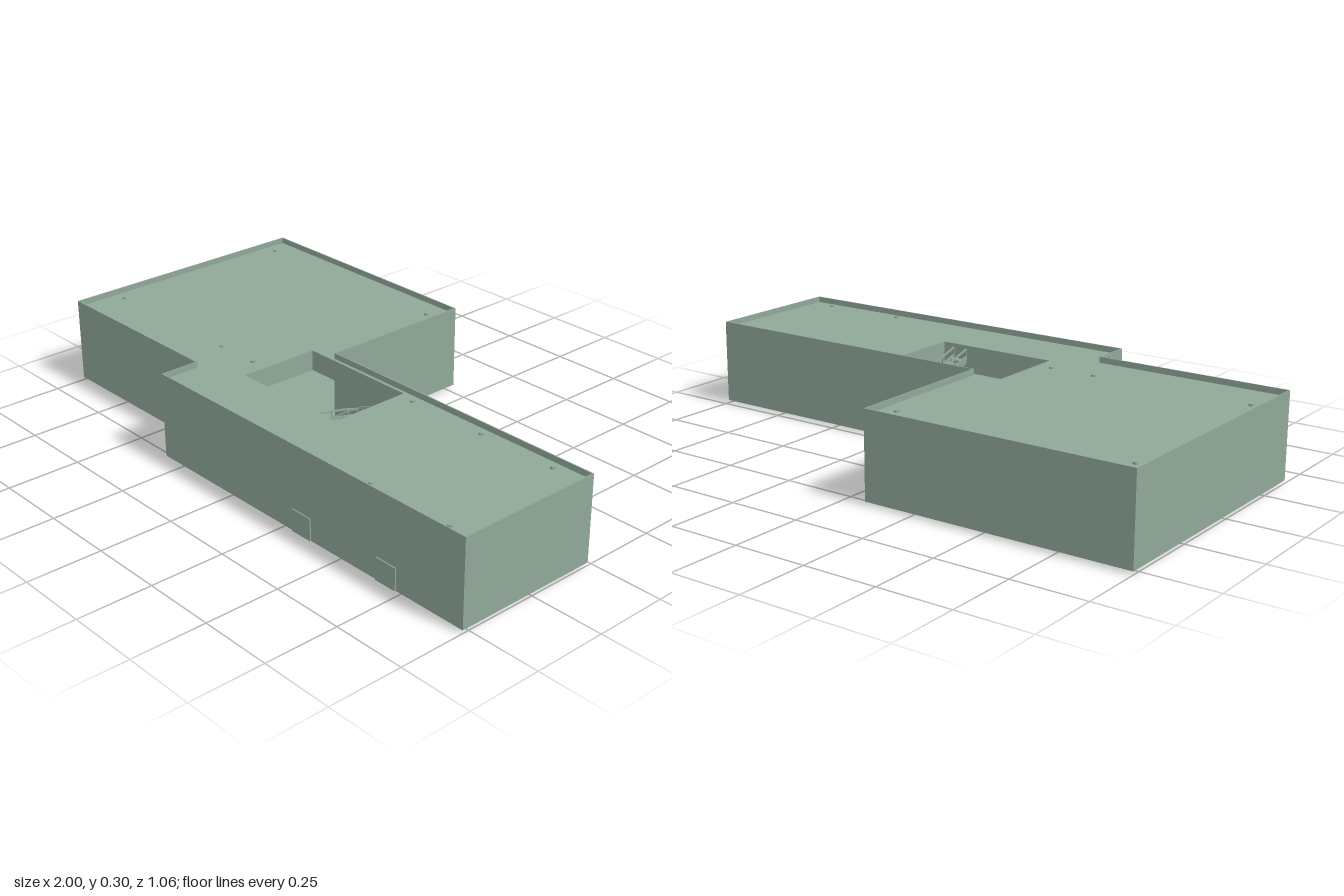
import * as THREE from 'three';

const material = new THREE.MeshStandardMaterial({ color: 0x90a898, side: THREE.DoubleSide });

function add(group, name, geometry, x = 0, y = 0, z = 0) {
  const mesh = new THREE.Mesh(geometry, material);
  mesh.name = name;
  mesh.position.set(x, y, z);
  group.add(mesh);
  return mesh;
}

// Corners of the stepped floor plan: x, z and the inward direction of each
const corners = [
  [-1, -0.53, 1, 1], [-0.08, -0.53, -1, 1], [-0.08, 0.015, -1, 1], [1, 0.015, -1, 1],
  [1, 0.523, -1, -1], [-0.33, 0.523, 1, -1], [-0.33, 0.39, 1, -1], [-1, 0.39, 1, -1],
];

const planPoints = (inset) =>
  corners.map(([x, z, sx, sz]) => new THREE.Vector2(x + sx * inset, -(z + sz * inset)));

const rectangle = (x0, x1, z0, z1) => new THREE.Path([
  new THREE.Vector2(x0, -z0), new THREE.Vector2(x1, -z0),
  new THREE.Vector2(x1, -z1), new THREE.Vector2(x0, -z1),
]);

// Raises a plan with holes from y0 to y1
function raisePlan(inset, holes, y0, y1) {
  const shape = new THREE.Shape(planPoints(inset));
  shape.holes.push(...holes);
  const geometry = new THREE.ExtrudeGeometry(shape, { depth: y1 - y0, bevelEnabled: false });
  geometry.rotateX(-Math.PI / 2);
  geometry.translate(0, y0, 0);
  return geometry;
}

// Sweeps an upright rectangle along a rising path, from side offset a to b
function sweep(curve, a, b, low, high, segments = 40) {
  const position = [], index = [];
  for (let i = 0; i <= segments; i++) {
    const p = curve.getPointAt(i / segments);
    const t = curve.getTangentAt(i / segments);
    const n = new THREE.Vector3(-t.z, 0, t.x).normalize();
    for (const [s, h] of [[a, low], [b, low], [b, high], [a, high]]) {
      position.push(p.x + n.x * s, Math.max(0, p.y + h), p.z + n.z * s);
    }
    if (i === 0) continue;
    for (let k = 0; k < 4; k++) {
      const c = i * 4 + k, d = i * 4 + (k + 1) % 4;
      index.push(c - 4, c, d, c - 4, d, d - 4);
    }
  }
  const e = segments * 4;
  index.push(0, 1, 2, 0, 2, 3, e, e + 2, e + 1, e, e + 3, e + 2);
  const geometry = new THREE.BufferGeometry();
  geometry.setAttribute('position', new THREE.Float32BufferAttribute(position, 3));
  geometry.setIndex(index);
  const flat = geometry.toNonIndexed();
  flat.computeVertexNormals();
  return flat;
}

export function createModel() {
  const model = new THREE.Group();
  model.name = 'building';

  // Thin outer walls rise past the roof as a parapet
  add(model, 'outerWalls', raisePlan(0, [new THREE.Path(planPoints(0.004))], 0.01, 0.3));
  add(model, 'roof', raisePlan(0.004, [rectangle(-0.18, 0.25, 0.03, 0.31)], 0.21, 0.28));
  add(model, 'floor', raisePlan(0.004, [rectangle(-0.3, 0.33, 0.36, 0.51)], 0.01, 0.05));

  // Stepped soffit set into the underside
  const teeth = 11, pitch = 0.63 / teeth;
  const soffit = new THREE.Shape();
  soffit.moveTo(-0.3, 0.055);
  for (let i = 0; i < teeth; i++) {
    const x = -0.3 + i * pitch;
    soffit.lineTo(x, 0.045);
    soffit.lineTo(x + pitch, 0.014);
  }
  soffit.lineTo(0.33, 0.055);
  add(model, 'steppedSoffit',
    new THREE.ExtrudeGeometry(soffit, { depth: 0.15, bevelEnabled: false }), 0, 0, 0.36);
  add(model, 'soffitRail', new THREE.BoxGeometry(0.63, 0.008, 0.008), 0.015, 0.016, 0.385);

  // Turning stair in the roof opening
  const path = new THREE.CatmullRomCurve3([
    [-0.085, 0.0, 0.245], [0.0, 0.07, 0.165], [0.075, 0.13, 0.093], [0.12, 0.155, 0.075],
    [0.163, 0.18, 0.115], [0.172, 0.205, 0.2], [0.18, 0.23, 0.305],
  ].map((p) => new THREE.Vector3(...p)));
  const stair = new THREE.Group();
  stair.name = 'turningStair';
  model.add(stair);
  const steps = 18;
  for (let i = 0; i < steps; i++) {
    const p = path.getPointAt((i + 0.5) / steps);
    const t = path.getTangentAt((i + 0.5) / steps);
    const step = add(stair, 'step', new THREE.BoxGeometry(0.05, 0.012, 0.026),
      p.x, Math.max(p.y, 0.006), p.z);
    step.rotation.y = Math.atan2(t.x, t.z);
  }
  for (const side of [-1, 1]) {
    add(stair, 'stringer', sweep(path, side * 0.025 - 0.002, side * 0.025 + 0.002, -0.012, 0.014));
    add(stair, 'handrail', sweep(path, side * 0.025 - 0.002, side * 0.025 + 0.002, 0.034, 0.04));
    for (let i = 0; i <= 8; i++) {
      const p = path.getPointAt(i / 8), t = path.getTangentAt(i / 8);
      const n = new THREE.Vector3(-t.z, 0, t.x).normalize().multiplyScalar(side * 0.025);
      add(stair, 'railPost', new THREE.BoxGeometry(0.003, 0.036, 0.003),
        p.x + n.x, p.y + 0.018, p.z + n.z);
    }
  }

  // Roof drains
  const drains = [
    [-0.95, -0.45], [-0.14, -0.45], [-0.95, 0.23], [-0.4, 0.23], [-0.24, 0.23],
    [0.31, 0.05], [0.6, 0.05], [0.88, 0.05], [0.6, 0.49], [0.91, 0.49],
  ];
  for (const [x, z] of drains) {
    add(model, 'roofDrain', new THREE.CylinderGeometry(0.008, 0.008, 0.008, 12), x, 0.283, z);
  }

  // Shallow door panels on the front wall
  for (const x of [0.34, 0.7]) {
    add(model, 'doorPanel', new THREE.BoxGeometry(0.08, 0.075, 0.006), x, 0.0475, 0.524);
  }
  return model;
}
